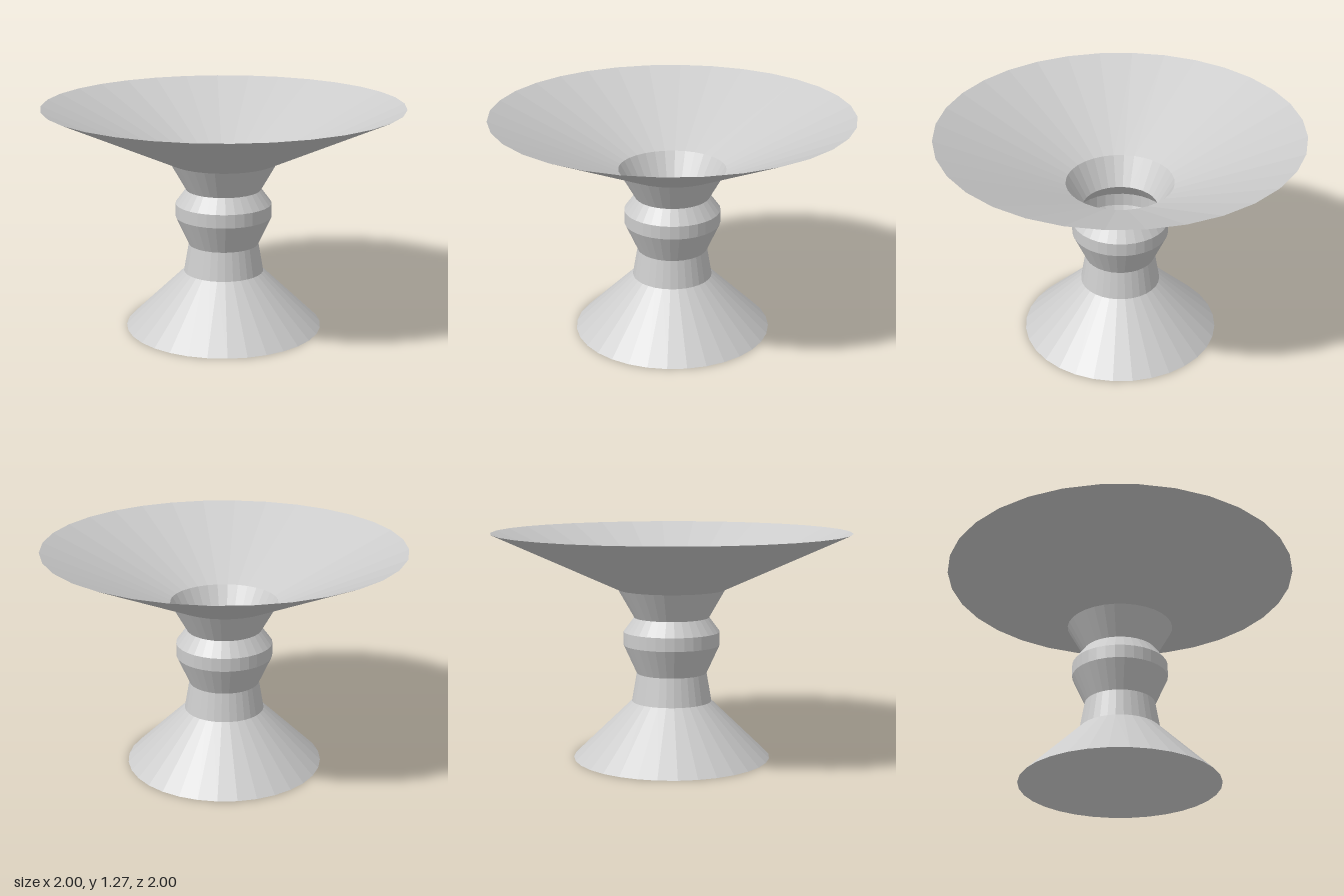
import * as THREE from 'three';

const SIDES = 32;

// Open, thin-walled turned section from [radius, height] pairs, bottom to top
function turned(name, profile, material) {
  const points = profile.map(([r, y]) => new THREE.Vector2(r, y));
  const mesh = new THREE.Mesh(new THREE.LatheGeometry(points, SIDES), material);
  mesh.name = name;
  return mesh;
}

export function createModel() {
  const group = new THREE.Group();
  group.name = 'flaredStand';
  const material = new THREE.MeshStandardMaterial({
    color: 0xcccccc, flatShading: true, side: THREE.DoubleSide,
  });

  group.add(
    // Conical foot, open underneath
    turned('foot', [[0.555, 0], [0.225, 0.32]], material),
    // Narrow neck above the foot
    turned('stem', [[0.225, 0.32], [0.197, 0.48]], material),
    // Bulging ring in the middle
    turned('knop', [[0.197, 0.48], [0.27, 0.64], [0.27, 0.715], [0.21, 0.795]], material),
    // Flared collar under the bowl
    turned('collar', [[0.21, 0.795], [0.3, 0.953]], material),
    // Wide shallow bowl, open to the hollow stem
    turned('bowl', [[0.3, 0.953], [1, 1.27]], material),
  );
  return group;
}
